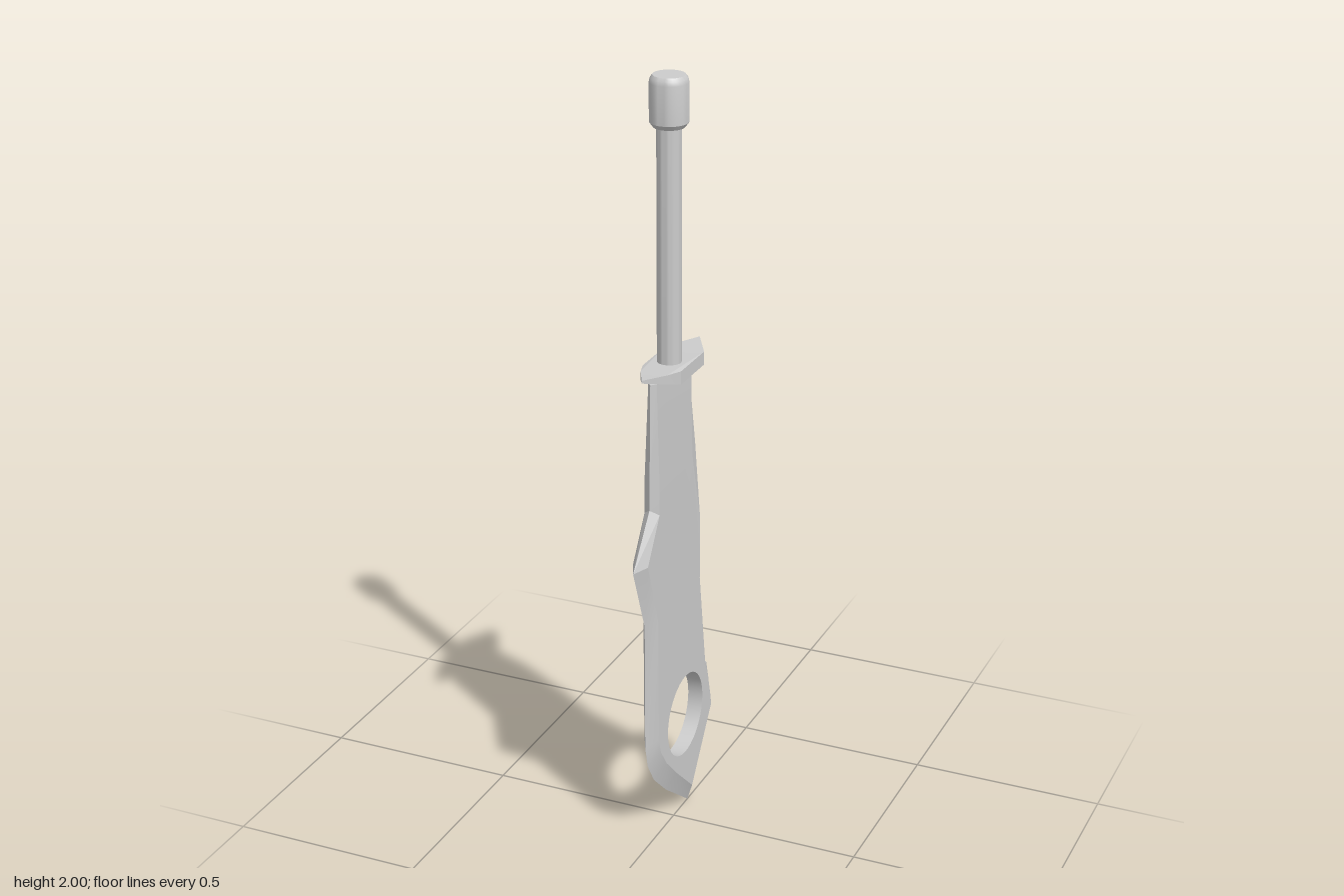
import * as THREE from 'three';
import { toCreasedNormals } from 'three/addons/utils/BufferGeometryUtils.js';

const material = new THREE.MeshStandardMaterial({ color: 0xcccccc });
const GRIP_Z = 0.026;

function addMesh(group, name, geometry) {
  const mesh = new THREE.Mesh(geometry, material);
  mesh.name = name;
  group.add(mesh);
  return mesh;
}

// Blade outline: outer z, y; bevel line z, y; half thickness of the outer edge
const OUTLINE = [
  [-0.09, 0.005, -0.075, 0.06, 0],
  [0.05, 0.11, 0.03, 0.155, 0],
  [0.125, 0.18, 0.09, 0.215, 0],
  [0.163, 0.24, 0.125, 0.265, 0],
  [0.177, 0.30, 0.138, 0.31, 0],
  [0.177, 0.643, 0.14, 0.645, 0],
  [0.243, 0.817, 0.2, 0.82, 0],
  [0.146, 0.945, 0.13, 0.93, 0],
  [0.144, 1.02, 0.13, 1.01, 0],
  [0.138, 1.27, 0.125, 1.27, 0],
  [-0.085, 1.27, -0.08, 1.27, 0],
  [-0.12, 1.02, -0.07, 1.01, 0.006],
  [-0.12, 0.82, -0.118, 0.82, 0.02],
  [-0.12, 0.648, -0.118, 0.648, 0.02],
  [-0.164, 0.378, -0.155, 0.378, 0.018],
  [-0.212, 0.357, -0.18, 0.33, 0],
  [-0.243, 0.24, -0.2, 0.24, 0],
];

function bladeGeometry() {
  const positions = [];
  const tri = (a, b, c) => positions.push(...a, ...b, ...c);
  const quad = (a, b, c, d) => { tri(a, b, c); tri(a, c, d); };
  // The blade thins towards the guard
  const halfAt = (y) => 0.02 - 0.009 * THREE.MathUtils.clamp((y - 1.01) / 0.26, 0, 1);
  const flat = (p, side) => [side * halfAt(p.y), p.y, p.x];

  const inner = OUTLINE.map((p) => new THREE.Vector2(p[2], p[3]));
  const hole = [];
  for (let i = 0; i < 40; i++) {
    const a = -i / 40 * Math.PI * 2;
    hole.push(new THREE.Vector2(-0.03 + 0.111 * Math.cos(a), 0.296 + 0.111 * Math.sin(a)));
  }

  const points = [...inner, ...hole];
  const faces = THREE.ShapeUtils.triangulateShape(inner, [hole]);
  const n = OUTLINE.length;
  for (const side of [-1, 1]) {
    // Flat cheek with the round hole
    for (const f of faces) {
      const [a, b, c] = f.map((i) => flat(points[i], side));
      if (side < 0) tri(a, b, c); else tri(a, c, b);
    }
    // Bevel from the cheek to the edge
    for (let i = 0; i < n; i++) {
      const j = (i + 1) % n;
      const [p, q] = [OUTLINE[i], OUTLINE[j]];
      const o0 = [side * p[4], p[1], p[0]];
      const o1 = [side * q[4], q[1], q[0]];
      const i0 = flat(inner[i], side), i1 = flat(inner[j], side);
      if (side < 0) quad(o0, o1, i1, i0); else quad(o0, i0, i1, o1);
    }
  }
  // Blunt part of the edge along the back
  for (let i = 0; i < n; i++) {
    const [p, q] = [OUTLINE[i], OUTLINE[(i + 1) % n]];
    if (p[4] + q[4] === 0) continue;
    quad([-p[4], p[1], p[0]], [p[4], p[1], p[0]], [q[4], q[1], q[0]], [-q[4], q[1], q[0]]);
  }
  // Wall of the hole
  hole.forEach((p, i) => {
    const q = hole[(i + 1) % hole.length];
    quad(flat(p, -1), flat(p, 1), flat(q, 1), flat(q, -1));
  });

  const geometry = new THREE.BufferGeometry();
  geometry.setAttribute('position', new THREE.Float32BufferAttribute(positions, 3));
  return toCreasedNormals(geometry, 0.2);
}

function guardGeometry() {
  const half = [[0.05, -0.07], [0.05, 0.07], [0.034, 0.118]];
  const outline = [[0, -0.16], ...half, [0, 0.187], ...half.map(([x, z]) => [-x, z]).reverse()];
  const shape = new THREE.Shape(outline.map(([x, z]) => new THREE.Vector2(x, -z)));
  const geometry = new THREE.ExtrudeGeometry(shape, { depth: 0.034, bevelEnabled: false });
  geometry.rotateX(-Math.PI / 2);
  // The front point sweeps up and thins out
  const pos = geometry.attributes.position;
  for (let i = 0; i < pos.count; i++) {
    const t = Math.max(0, (pos.getZ(i) - 0.07) / 0.117);
    const top = pos.getY(i) > 0.017;
    pos.setY(i, 1.255 + pos.getY(i) + t * (top ? 0.011 : 0.038));
  }
  return toCreasedNormals(geometry, 0.2);
}

function turned(profile) {
  const geometry = new THREE.LatheGeometry(profile.map(([r, y]) => new THREE.Vector2(r, y)), 32);
  return toCreasedNormals(geometry, 0.5);
}

export function createModel() {
  const group = new THREE.Group();
  group.name = 'dagger';
  addMesh(group, 'blade', bladeGeometry());
  addMesh(group, 'guard', guardGeometry());

  const grip = addMesh(group, 'grip', turned([[0.03, 1.27], [0.03, 1.89]]));
  const pommel = addMesh(group, 'pommel', turned([
    [0, 1.876], [0.038, 1.876], [0.047, 1.888], [0.047, 1.982],
    [0.045, 1.992], [0.039, 2], [0, 2],
  ]));
  grip.position.z = pommel.position.z = GRIP_Z;
  return group;
}
